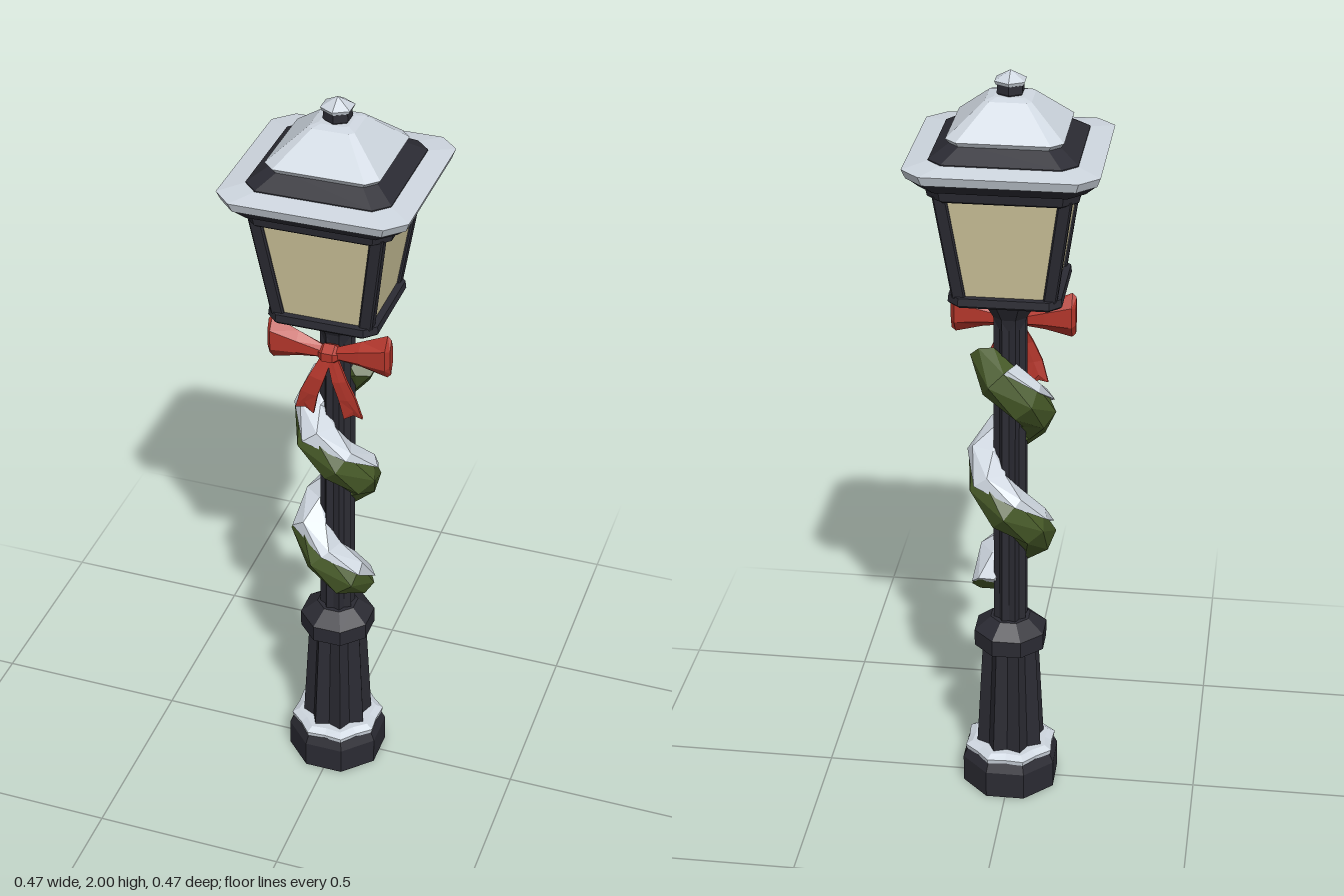
import * as THREE from 'three';

const flat = (name, color) => {
  const m = new THREE.MeshStandardMaterial({ color, flatShading: true });
  m.name = name;
  return m;
};

// Closed cross-sections joined into a capped, flat-faced solid that always faces outward.
function loft(rings) {
  const tris = [];
  const n = rings[0].length;
  for (let i = 0; i < rings.length - 1; i++) {
    for (let j = 0; j < n; j++) {
      const k = (j + 1) % n;
      const a = rings[i][j], b = rings[i][k], c = rings[i + 1][k], d = rings[i + 1][j];
      tris.push([a, b, c], [a, c, d]);
    }
  }
  const centre = (r) => r.reduce((s, p) => s.add(p), new THREE.Vector3()).divideScalar(n);
  const first = rings[0], last = rings[rings.length - 1];
  const c0 = centre(first), c1 = centre(last);
  for (let j = 0; j < n; j++) {
    const k = (j + 1) % n;
    tris.push([c0, first[k], first[j]], [c1, last[j], last[k]]);
  }
  const cross = new THREE.Vector3();
  const volume = tris.reduce((v, [a, b, c]) => v + a.dot(cross.crossVectors(b, c)), 0);
  const pos = [];
  for (const [a, b, c] of tris) {
    for (const p of volume < 0 ? [a, c, b] : [a, b, c]) pos.push(p.x, p.y, p.z);
  }
  const g = new THREE.BufferGeometry();
  g.setAttribute('position', new THREE.Float32BufferAttribute(pos, 3));
  g.computeVertexNormals();
  return g;
}

// Regular polygon; every second corner may sit at r2 to make flutes.
const ngon = (n, y, r, r2 = r, turn = 0) =>
  Array.from({ length: n }, (_, i) => {
    const a = turn + (i / n) * Math.PI * 2, q = i % 2 ? r2 : r;
    return new THREE.Vector3(Math.sin(a) * q, y, Math.cos(a) * q);
  });

// Square with chamfered corners, h = half width, c = corner cut.
const square = (y, h, c = h * 0.2, x = 0, z = 0) =>
  [[h, c - h], [h, h - c], [h - c, h], [c - h, h], [-h, h - c], [-h, c - h], [c - h, -h], [h - c, -h]]
    .map(([u, v]) => new THREE.Vector3(x + u, y, z + v));

const octagon = (y, apothem) => {
  const r = apothem / Math.cos(Math.PI / 8);
  return ngon(8, y, r, r, Math.PI / 8);
};

export function createModel() {
  const model = new THREE.Group();
  model.name = 'snowyLampPost';
  const iron = flat('iron', 0x2b2b33);
  const snow = flat('snow', 0xced6df);
  const glass = flat('glass', 0xd1c79d);
  const green = flat('garlandGreen', 0x475a28);
  const red = flat('ribbonRed', 0xb4362b);
  const add = (name, rings, mat, parent = model) => {
    const mesh = new THREE.Mesh(loft(rings), mat);
    mesh.name = name;
    parent.add(mesh);
    return mesh;
  };

  // Foot, fluted pedestal and post
  add('foot', [octagon(0, 0.122), octagon(0.075, 0.122), octagon(0.105, 0.109)], iron);
  add('footSnow', [ngon(16, 0.1, 0.11, 0.123), ngon(16, 0.112, 0.112, 0.125), ngon(16, 0.122, 0.094, 0.106)], snow);
  add('pedestal', [ngon(16, 0.1, 0.074, 0.094), ngon(16, 0.43, 0.06, 0.076)], iron);
  add('collar', [octagon(0.415, 0.075), octagon(0.425, 0.091), octagon(0.47, 0.091), octagon(0.505, 0.05)], iron);
  add('post', [ngon(16, 0.49, 0.037, 0.046), ngon(16, 1.37, 0.035, 0.044)], iron);
  add('neck', [octagon(1.34, 0.036), octagon(1.37, 0.042), octagon(1.41, 0.065), octagon(1.45, 0.078)], iron);

  // Lantern
  const lantern = new THREE.Group();
  lantern.name = 'lantern';
  model.add(lantern);
  add('floorPlate', [square(1.44, 0.135), square(1.446, 0.14), square(1.465, 0.138)], iron, lantern);
  add('panes', [square(1.46, 0.12, 0.01), square(1.735, 0.16, 0.01)], glass, lantern);
  for (const sx of [-1, 1]) for (const sz of [-1, 1]) {
    add('cornerBar', [square(1.46, 0.017, 0.004, sx * 0.111, sz * 0.111),
      square(1.735, 0.017, 0.004, sx * 0.15, sz * 0.15)], iron, lantern);
  }
  add('cornice', [square(1.725, 0.175), square(1.73, 0.181), square(1.752, 0.185), square(1.757, 0.198),
    square(1.784, 0.224), square(1.795, 0.224)], iron, lantern);
  add('eaveSnow', [square(1.784, 0.226), square(1.808, 0.235), square(1.818, 0.175)], snow, lantern);
  add('roof', [square(1.805, 0.179), square(1.82, 0.178), square(1.855, 0.125)], iron, lantern);
  add('roofSnow', [square(1.85, 0.133), square(1.862, 0.141), square(1.937, 0.056), square(1.943, 0.036)], snow, lantern);
  add('finial', [ngon(6, 1.935, 0.026), ngon(6, 1.948, 0.036), ngon(6, 1.972, 0.034)], iron, lantern);
  add('finialSnow', [ngon(6, 1.968, 0.038), ngon(6, 1.977, 0.042), ngon(6, 2, 0.001)], snow, lantern);

  // Garland: tapered six-sided coil rising from the left round the front, with snow along its upper side
  const steps = 13, coil = 0.064, pitch = 0.345, turns = 1.96;
  const section = (t, shape) => {
    const a = t * turns * Math.PI * 2;
    const radial = new THREE.Vector3(Math.cos(a), 0, Math.sin(a));
    const along = new THREE.Vector3(-Math.sin(a) * coil, pitch / (Math.PI * 2), Math.cos(a) * coil).normalize();
    const up = new THREE.Vector3().crossVectors(along, radial);
    const mid = radial.clone().multiplyScalar(coil).setY(0.59 + t * turns * pitch);
    return shape.map(([deg, r]) => {
      const q = THREE.MathUtils.degToRad(deg);
      return mid.clone().addScaledVector(radial, Math.cos(q) * r).addScaledVector(up, Math.sin(q) * r);
    });
  };
  const garland = [], cover = [];
  for (let i = 0; i <= steps; i++) {
    const r = i === 0 || i === steps ? 0.038 : 0.053 + (i % 2) * 0.004;
    garland.push(section(i / steps, [0, 60, 120, 180, 240, 300].map((d) => [d, r])));
    if (i < steps) {
      const edge = i === steps - 1 ? 58 : 26 + (i % 3) * 9;
      cover.push(section(i / steps, [[edge, r + 0.003], [68, r + 0.009], [120, r + 0.009], [165, r + 0.002], [120, r - 0.015], [68, r - 0.015]]));
    }
  }
  add('garland', garland, green);
  add('garlandSnow', cover, snow);

  // Ribbon bow: mirrored loops and notched tails round a knot
  const bow = new THREE.Group();
  bow.name = 'bow';
  model.add(bow);
  const hex = (x, y, hy, hz) => [[1, 0], [0.45, 1], [-0.45, 1], [-1, 0], [-0.45, -1], [0.45, -1]]
    .map(([v, w]) => new THREE.Vector3(x, y + v * hy, 0.06 + w * hz));
  add('knot', [hex(-0.026, 1.33, 0.016, 0.015), hex(-0.014, 1.33, 0.026, 0.025),
    hex(0.014, 1.33, 0.026, 0.025), hex(0.026, 1.33, 0.016, 0.015)], red, bow);
  const tail = [[0.004, 1.325, 0.012, 0.06], [0.03, 1.26, 0.019, 0.074], [0.05, 1.21, 0.022, 0.073], [0.064, 1.178, 0.024, 0.067]];
  for (const s of [-1, 1]) {
    add('bowLoop', [hex(s * 0.012, 1.332, 0.016, 0.014), hex(s * 0.08, 1.343, 0.036, 0.021),
      hex(s * 0.148, 1.35, 0.06, 0.024), hex(s * 0.158, 1.35, 0.05, 0.012)], red, bow);
    // The last section drops its sides to form the notch
    add('bowTail', tail.map(([x, y, w, z], i) => {
      const drop = i === tail.length - 1 ? 0.026 : 0;
      return [[-w, -drop - 0.004, 0.004], [0, 0, 0.005], [w, 0.006 - drop, 0.004],
        [w, 0.006 - drop, -0.004], [0, 0, -0.005], [-w, -drop - 0.004, -0.004]]
        .map(([u, v, d]) => new THREE.Vector3(s * (x + u), y + v, z + d));
    }), red, bow);
  }
  return model;
}
